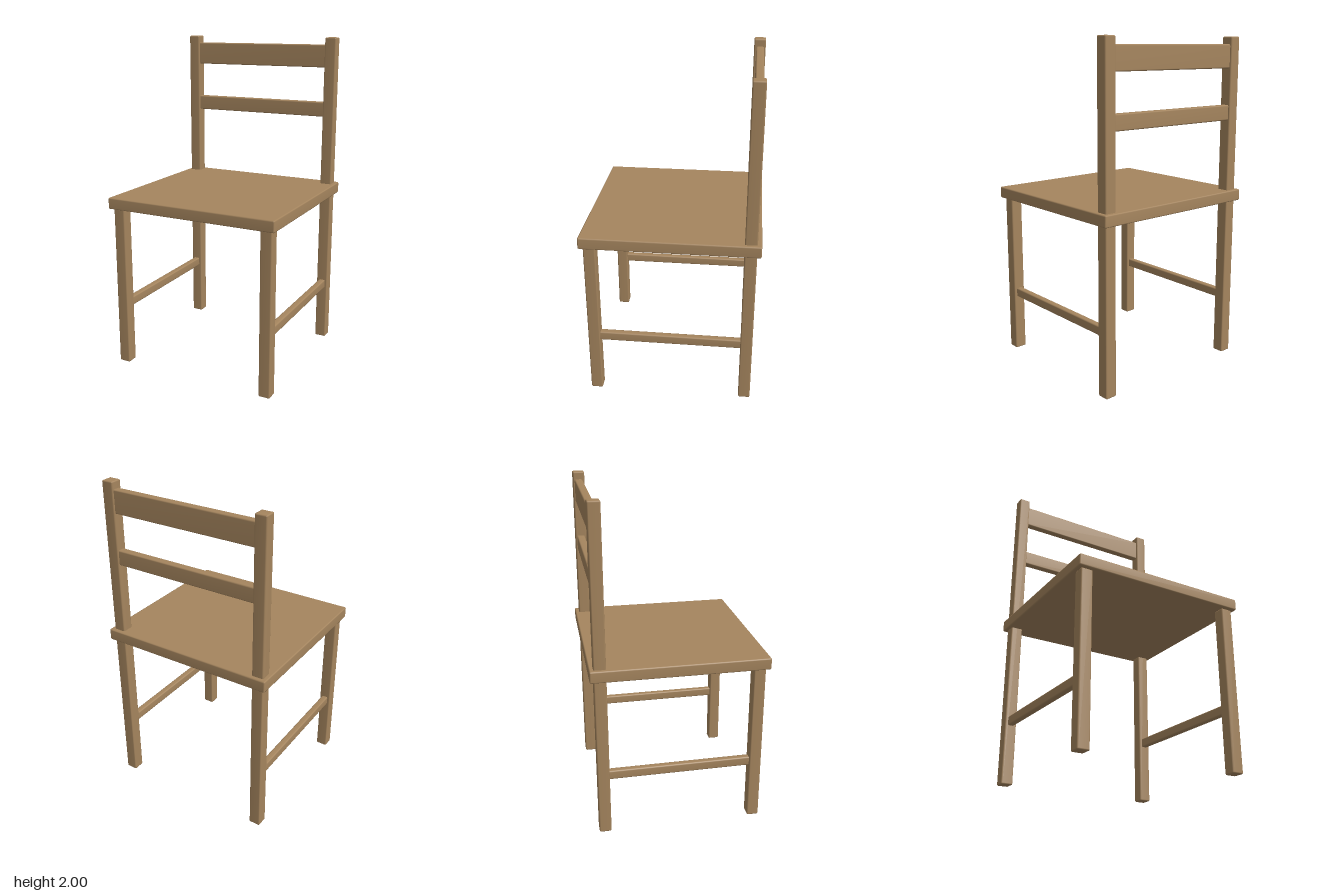
import * as THREE from 'three';
import { mergeVertices } from 'three/addons/utils/BufferGeometryUtils.js';
import { RoundedBoxGeometry } from 'three/addons/geometries/RoundedBoxGeometry.js';

const wood = new THREE.MeshStandardMaterial({ color: 0xa5855e });
wood.name = 'wood';

// Softly bevelled beam spanning [min, max] on each axis, with smooth normals
function beam(name, [x0, x1], [y0, y1], [z0, z1], radius = 0.008) {
  const rounded = new RoundedBoxGeometry(x1 - x0, y1 - y0, z1 - z0, 1, radius);
  rounded.deleteAttribute('normal');
  rounded.deleteAttribute('uv');
  const geometry = mergeVertices(rounded, 1e-5);
  geometry.computeVertexNormals();
  const mesh = new THREE.Mesh(geometry, wood);
  mesh.name = name;
  mesh.position.set((x0 + x1) / 2, (y0 + y1) / 2, (z0 + z1) / 2);
  return mesh;
}

export function createModel() {
  const chair = new THREE.Group();
  chair.name = 'chair';

  // Seat board
  chair.add(beam('seat', [-0.545, 0.545], [1.003, 1.073], [-0.522, 0.522]));

  // Legs and side stretchers, mirrored left and right
  for (const [side, s] of [['left', 1], ['right', -1]]) {
    const cx = s * 0.486;
    const span = (half) => [cx - half, cx + half];
    chair.add(
      beam(`${side}FrontLeg`, span(0.036), [0, 1.004], [0.426, 0.498]),
      beam(`${side}BackPost`, span(0.036), [0, 2], [-0.498, -0.426]),
      beam(`${side}Stretcher`, span(0.02), [0.355, 0.411], [-0.432, 0.432])
    );
  }

  // Backrest slats between the posts
  chair.add(
    beam('upperSlat', [-0.46, 0.46], [1.815, 1.955], [-0.488, -0.44]),
    beam('lowerSlat', [-0.46, 0.46], [1.505, 1.597], [-0.488, -0.44])
  );

  return chair;
}
